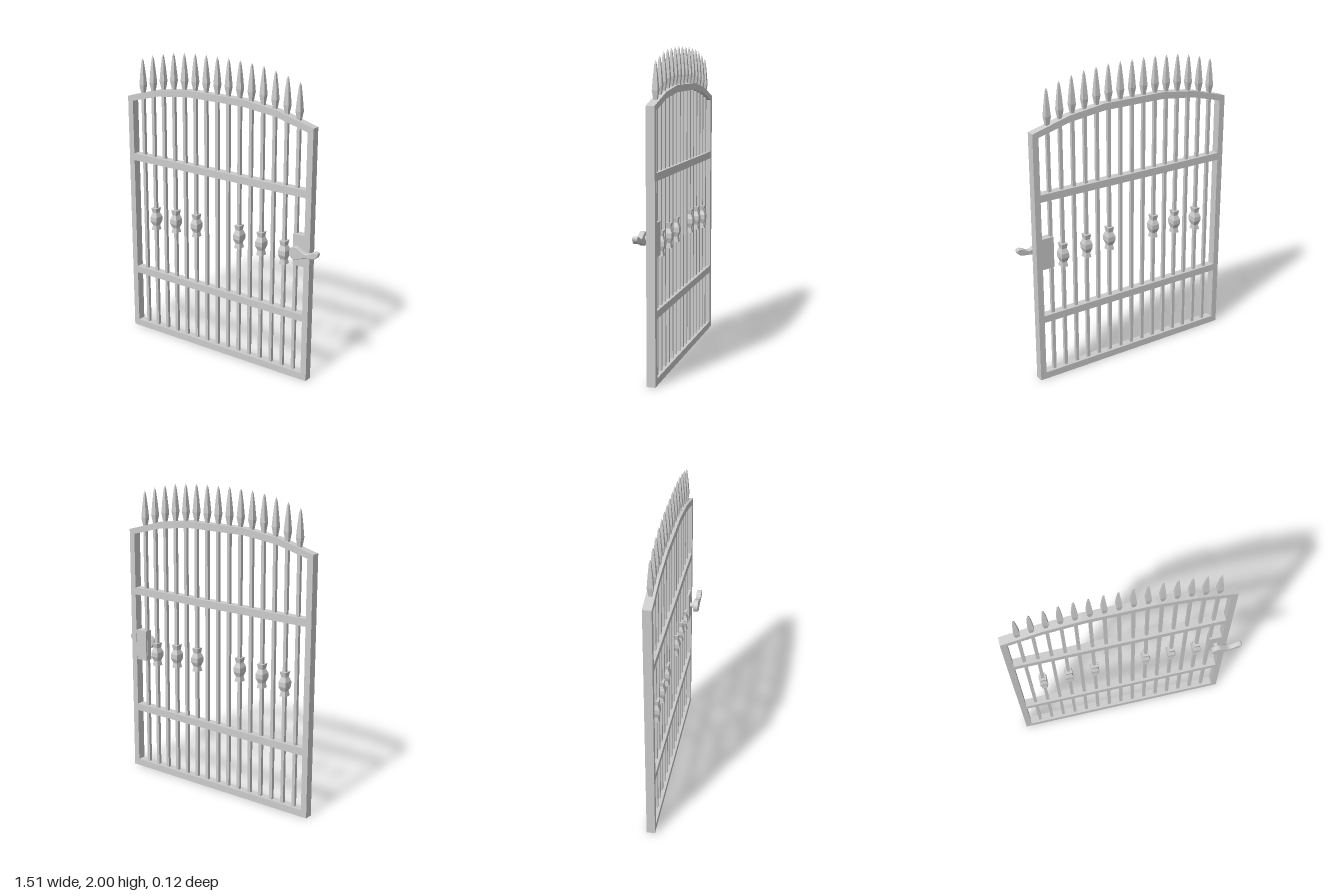
import * as THREE from 'three';

const CX = -0.045, CZ = -0.027, DEPTH = 0.054;

export function createModel() {
  const gate = new THREE.Group();
  const flat = new THREE.MeshStandardMaterial({ color: 0xcccccc, flatShading: true });
  const smooth = new THREE.MeshStandardMaterial({ color: 0xcccccc });

  const add = (name, geometry, x, y, z, material = flat) => {
    const mesh = new THREE.Mesh(geometry, material);
    mesh.name = name;
    mesh.position.set(x, y, z);
    gate.add(mesh);
    return mesh;
  };
  const box = (name, w, h, d, x, y, z = CZ) => add(name, new THREE.BoxGeometry(w, h, d), x, y, z);
  // Four-sided turned piece from [half width, height] pairs, running bottom to top
  const squareTurned = (profile) => new THREE.LatheGeometry(
    profile.map(([r, y]) => new THREE.Vector2(r * Math.SQRT2, y)), 4, Math.PI / 4);
  // Mirrors the right half of an outline to a full closed one
  const mirrored = (half) => [...half, ...half.map(([x, y]) => [-x, y]).reverse()]
    .map(([x, y]) => new THREE.Vector2(x, y));

  // Frame: stiles, bottom rail and faceted arch in one outline
  const frame = new THREE.Shape(mirrored([[0.71, 0], [0.71, 1.66], [0.46, 1.73], [0.215, 1.762]]));
  frame.holes.push(new THREE.Path(
    mirrored([[0.67, 0.045], [0.67, 1.632], [0.453, 1.69], [0.212, 1.719]]).reverse()));
  add('frame', new THREE.ExtrudeGeometry(frame, { depth: DEPTH, bevelEnabled: false }),
    CX, 0, CZ - DEPTH / 2);

  // Cross rails
  for (const y of [0.431, 1.248]) box('crossRail', 1.35, 0.047, DEPTH, CX, y);

  // Upright bars with spear tips
  const spear = squareTurned([[0.010, -0.235], [0.011, -0.225], [0.018, -0.175],
    [0.012, -0.09], [0.0055, -0.02], [0, 0]]);
  const knot = squareTurned([[0, -0.078], [0.021, -0.078], [0.016, -0.045], [0.026, -0.015],
    [0.026, 0.015], [0.016, 0.045], [0.021, 0.078], [0, 0.078]]);
  const tips = [1.998, 1.998, 1.996, 1.99, 1.982, 1.966, 1.945, 1.918];
  const knotHeights = { 2: 0.859, 4: 0.851, 6: 0.833 };
  for (let i = -7; i <= 7; i++) {
    const x = -0.047 + i * 0.0854, k = Math.abs(i), tip = tips[k];
    const height = tip - 0.225 - 0.02;
    box('bar', 0.021, height, 0.021, x, 0.02 + height / 2);
    add('spearTip', spear, x, tip, CZ);
    // Decorative knots on alternate bars
    if (knotHeights[k]) add('knot', knot, x, knotHeights[k], CZ).scale.z = 1.22;
  }

  // Lock plate beside the right stile
  box('lockPlate', 0.09, 0.205, 0.05, 0.588, 0.878);

  // Lever handle on its spindle
  const spindle = new THREE.CylinderGeometry(0.018, 0.018, 0.05, 20).rotateX(Math.PI / 2);
  add('spindle', spindle, 0.593, 0.88, 0.01, smooth);
  const lever = new THREE.Shape();
  lever.absarc(0, 0, 0.038, Math.PI * 0.3, Math.PI * 1.7, false);
  lever.bezierCurveTo(0.045, -0.02, 0.07, -0.012, 0.10, -0.010);
  lever.bezierCurveTo(0.125, -0.008, 0.145, -0.005, 0.154, 0.016);
  lever.bezierCurveTo(0.158, 0.032, 0.15, 0.033, 0.135, 0.029);
  lever.bezierCurveTo(0.115, 0.026, 0.10, 0.005, 0.075, 0.007);
  lever.bezierCurveTo(0.055, 0.010, 0.045, 0.022, 0.0223, 0.0307);
  add('lever', new THREE.ExtrudeGeometry(lever, {
    depth: 0.022, bevelThickness: 0.006, bevelSize: 0.005, bevelSegments: 3, curveSegments: 16,
  }), 0.593, 0.88, 0.03, smooth);

  return gate;
}
